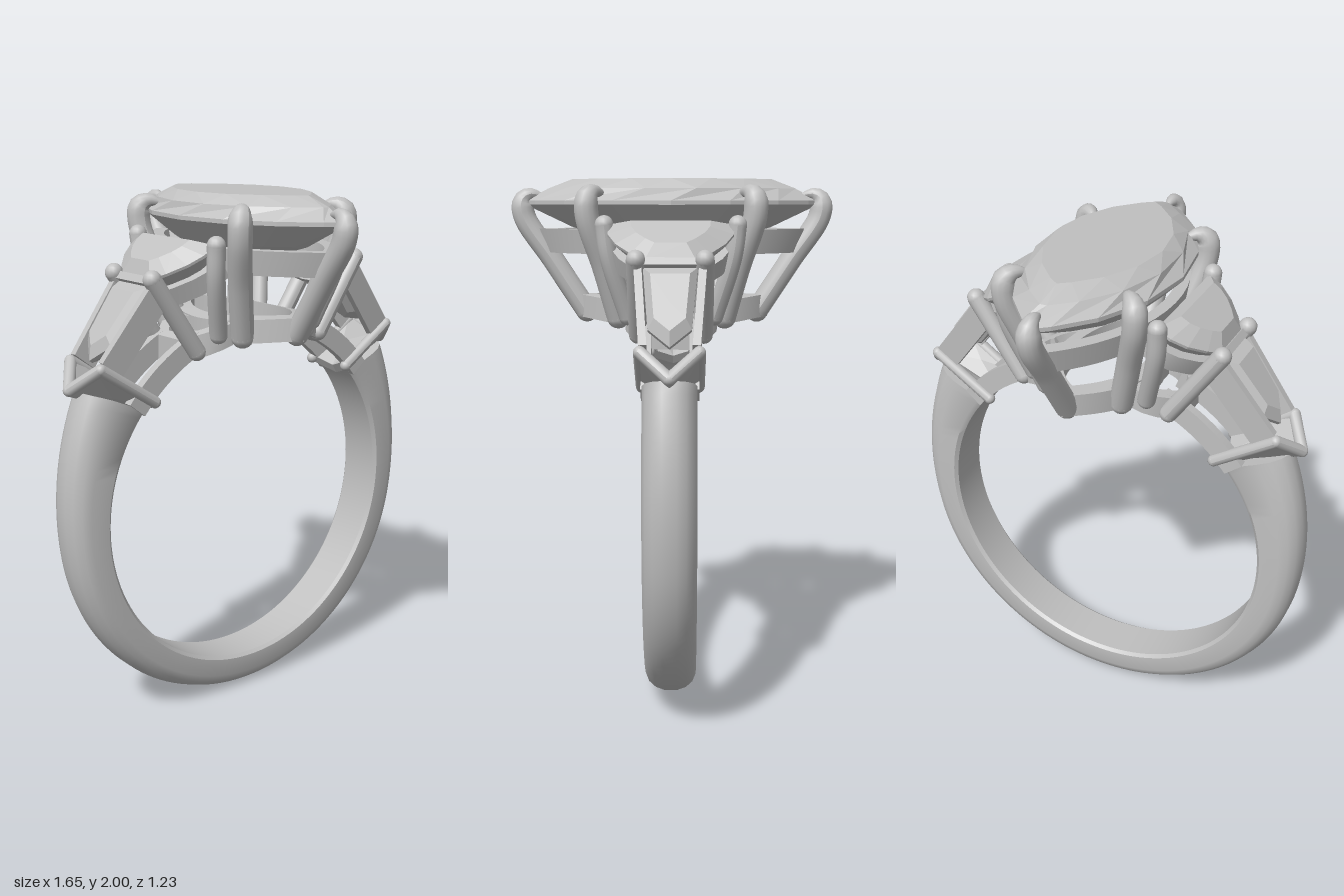
import * as THREE from 'three';
import { toCreasedNormals } from 'three/addons/utils/BufferGeometryUtils.js';

const V = (x, y, z) => new THREE.Vector3(x, y, z);
const CY = 0.81, R = 0.67; // centre and radius of the finger hole

// Skin through rings of points; each ring runs counter-clockwise about the stacking direction
function loft(rings, crease, caps = true) {
  const pos = [], n = rings[0].length;
  const tri = (...ps) => ps.forEach(p => pos.push(p.x, p.y, p.z));
  for (let r = 0; r < rings.length - 1; r++) {
    const a = rings[r], b = rings[r + 1];
    for (let i = 0; i < n; i++) {
      const j = (i + 1) % n;
      tri(a[i], a[j], b[j]);
      tri(a[i], b[j], b[i]);
    }
  }
  if (caps) {
    const mid = ring => ring.reduce((s, p) => s.add(p), V(0, 0, 0)).divideScalar(n);
    const lo = rings[0], hi = rings[rings.length - 1], cl = mid(lo), ch = mid(hi);
    for (let i = 0; i < n; i++) {
      const j = (i + 1) % n;
      tri(cl, lo[j], lo[i]);
      tri(ch, hi[i], hi[j]);
    }
  }
  const g = new THREE.BufferGeometry();
  g.setAttribute('position', new THREE.Float32BufferAttribute(pos, 3));
  return toCreasedNormals(g, crease);
}

// Pointed oval outline as [x, z] pairs
function marquise(w, l, n, shift = 0) {
  const rad = (l * l + w * w) / (2 * w);
  return Array.from({ length: n }, (_, i) => {
    const t = (i + shift) / n * Math.PI * 2, z = l * Math.cos(t);
    return [Math.sign(Math.sin(t)) * Math.max(0, Math.sqrt(rad * rad - z * z) - rad + w), z];
  });
}

// Truncated half-moon outline, scaled about its middle
const moonHalf = [[0, 0.23], [0.06, 0.225], [0.12, 0.195], [0.18, 0.14], [0.22, 0.09]];
const moon = s => [...moonHalf, ...moonHalf.map(([x, z]) => [x, -z]).reverse()]
  .map(([x, z]) => [0.09 + (x - 0.09) * s, z * s]);

const level = (pts, y) => pts.map(([x, z]) => V(x, y, z));
const onFinger = (pts, r, dx = 0) => pts.map(([x, z]) => V(x + dx, CY + Math.sqrt(r * r - (x + dx) ** 2), z));

// Closed rail with a rectangular section
function rail(outer, inner, lo, hi) {
  return loft([lo(outer), hi(outer), hi(inner), lo(inner), lo(outer)], 0.5, false);
}

export function createModel() {
  const root = new THREE.Group();
  root.name = 'threeStoneRing';
  const silver = new THREE.MeshStandardMaterial({ color: 0xc0c0c0 });
  silver.name = 'silver grey';

  const add = (parent, name, geo) => {
    const m = new THREE.Mesh(geo, silver);
    m.name = name;
    parent.add(m);
    return m;
  };

  // Round wire with ball ends; the radius narrows to r1 after fraction "from"
  function prong(parent, name, pts, r0, r1 = r0, from = 0.7) {
    const g = new THREE.Group();
    g.name = name;
    parent.add(g);
    const curve = pts.length > 2 ? new THREE.CatmullRomCurve3(pts) : new THREE.LineCurve3(...pts);
    const seg = pts.length > 2 ? 32 : 1, sides = 14;
    const geo = new THREE.TubeGeometry(curve, seg, r0, sides);
    const p = geo.attributes.position, v = V(0, 0, 0);
    for (let i = 0; i <= seg; i++) {
      const c = curve.getPointAt(i / seg);
      const k = 1 + (r1 / r0 - 1) * Math.max(0, (i / seg - from) / (1 - from));
      for (let j = 0; j <= sides; j++) {
        const q = i * (sides + 1) + j;
        v.fromBufferAttribute(p, q).sub(c).multiplyScalar(k).add(c);
        p.setXYZ(q, v.x, v.y, v.z);
      }
    }
    geo.computeVertexNormals();
    add(g, 'wire', geo);
    [[pts[0], r0], [pts[pts.length - 1], r1]].forEach(([c, r]) =>
      add(g, 'ballEnd', new THREE.SphereGeometry(r, 14, 10)).position.copy(c));
    return g;
  }

  // Shank: a D section swept round the finger, thicker towards the shoulders
  const half = [[0, 0.082], [0.08, 0.095], [0.55, 0.095], [0.75, 0.083], [0.9, 0.058], [0.98, 0.025]];
  const section = [...half, ...half.map(([k, z]) => [k, -z]).reverse()];
  const shankRings = Array.from({ length: 97 }, (_, i) => section.map(([k, z]) => {
    const deg = -90 + (i / 48 - 1) * (125.5 + 5 * (1 - k));
    const rise = Math.max(0, (Math.abs(deg + 90) - 80) / 45);
    const r = R + k * (0.143 + 0.01 * Math.abs(i / 48 - 1) + 0.08 * rise * rise);
    const a = deg * Math.PI / 180;
    return V(r * Math.cos(a), CY + r * Math.sin(a), z);
  }));
  add(root, 'shank', loft(shankRings, 0.7));

  // Centre stone
  add(root, 'centreStone', loft([
    level(marquise(0.05, 0.1, 16), 1.74),
    level(marquise(0.2, 0.38, 16), 1.82),
    level(marquise(0.285, 0.56, 16), 1.905),
    level(marquise(0.285, 0.56, 16), 1.92),
    level(marquise(0.25, 0.48, 16, 0.5), 1.965),
    level(marquise(0.205, 0.38, 16), 2.0),
  ], 0.01));

  // Centre basket rails
  add(root, 'upperRail', rail(marquise(0.26, 0.53, 48), marquise(0.215, 0.46, 48),
    p => level(p.map(([x, z]) => [x * 0.95, z * 0.94]), 1.725), p => level(p, 1.815)));
  add(root, 'baseRail', rail(marquise(0.2, 0.37, 48), marquise(0.145, 0.29, 48),
    p => onFinger(p, R), p => onFinger(p, R + 0.085)));

  // Centre prongs: two at the points, four at the sides
  for (const s of [1, -1]) {
    prong(root, 'pointProng', [V(0, 1.5, 0.33 * s), V(0, 1.7, 0.46 * s), V(0, 1.86, 0.565 * s),
      V(0, 1.925, 0.568 * s), V(0, 1.945, 0.54 * s), V(0, 1.94, 0.5 * s)], 0.043, 0.01, 0.83);
    for (const q of [1, -1]) {
      prong(root, 'sideProng', [V(0.15 * q, 1.49, 0.2 * s), V(0.2 * q, 1.68, 0.25 * s),
        V(0.247 * q, 1.86, 0.305 * s), V(0.245 * q, 1.93, 0.305 * s), V(0.222 * q, 1.952, 0.285 * s),
        V(0.185 * q, 1.945, 0.25 * s)], 0.044, 0.01, 0.83);
    }
  }

  // Shoulders: the same setting on both sides
  for (const turn of [0, Math.PI]) {
    const side = new THREE.Group();
    side.name = turn ? 'rightShoulder' : 'leftShoulder';
    side.rotation.y = turn;
    root.add(side);

    // Half-moon stone and its rails
    const moonSet = new THREE.Group();
    moonSet.name = 'halfMoonSetting';
    moonSet.position.set(0.29, 1.83, 0);
    moonSet.rotation.z = -0.56;
    side.add(moonSet);
    add(moonSet, 'halfMoonStone', loft([level(moon(0.3), -0.11), level(moon(0.75), -0.06),
      level(moon(1), -0.005), level(moon(1), 0.005), level(moon(0.62), 0.045)], 0.01));
    add(moonSet, 'halfMoonRail', rail(moon(0.95), moon(0.75), p => level(p, -0.13), p => level(p, -0.06)));
    add(side, 'halfMoonBase', rail(moon(0.75), moon(0.5),
      p => onFinger(p, R, 0.15), p => onFinger(p, R + 0.08, 0.15)));

    // Tapered baguette between two channel walls
    const bag = new THREE.Group();
    bag.name = 'baguetteSetting';
    bag.position.set(0.49, 1.72, 0);
    bag.rotation.z = -0.91;
    side.add(bag);
    const cut = s => [[0.02, 0.095], [0.27, 0.075], [0.34, 0], [0.27, -0.075], [0.02, -0.095]]
      .map(([x, z]) => [0.17 + (x - 0.17) * s, z * s]);
    add(bag, 'baguetteStone', loft([level(cut(0.5), -0.11), level(cut(1), -0.035),
      level(cut(1), -0.02), level(cut(0.72), 0.008)], 0.01));
    add(bag, 'separatorBar', new THREE.BoxGeometry(0.03, 0.08, 0.22)).position.set(0.005, -0.04, 0);

    for (const s of [1, -1]) {
      const wall = add(bag, 'channelWall', new THREE.BoxGeometry(0.34, 0.1, 0.028));
      wall.position.set(0.17, -0.055, 0.103 * s);
      wall.rotation.y = 0.07 * s;

      // Prongs shared by the side stones
      prong(side, 'lowerProng', [V(0.3, 1.44, 0.12 * s), V(0.49, 1.72, 0.12 * s)], 0.034);
      prong(side, 'upperProng', [V(0.23, 1.5, 0.16 * s), V(0.29, 1.72, 0.225 * s), V(0.3, 1.835, 0.24 * s)], 0.034);

      // Curved base bar along the finger
      const arc = new THREE.Shape();
      arc.absarc(0, 0, R + 0.08, 0.68, 1.2, false);
      arc.absarc(0, 0, R, 1.2, 0.68, true);
      add(side, 'baseBar', new THREE.ExtrudeGeometry(arc, { depth: 0.035, bevelEnabled: false, curveSegments: 12 }))
        .position.set(0, CY, s * 0.085 - 0.0175);

      // Chevron end plate with rounded edges
      const chevron = new THREE.Group();
      chevron.name = 'chevronHalf';
      chevron.scale.z = s;
      side.add(chevron);
      const A = V(0.7, 1.425, 0.1), B = V(0.475, 1.275, 0.1), C = V(0.51, 1.24, 0), D = V(0.77, 1.345, 0);
      const off = d => [A, D, C, B].map(p => p.clone().add(V(-0.5 * d, 0.8 * d, 0)));
      add(chevron, 'plate', loft([off(-0.022), off(0.022)], 0.01));
      prong(chevron, 'sideEdge', [B, A], 0.022);
      prong(chevron, 'frontEdge', [A, D], 0.022);
    }
  }
  return root;
}
